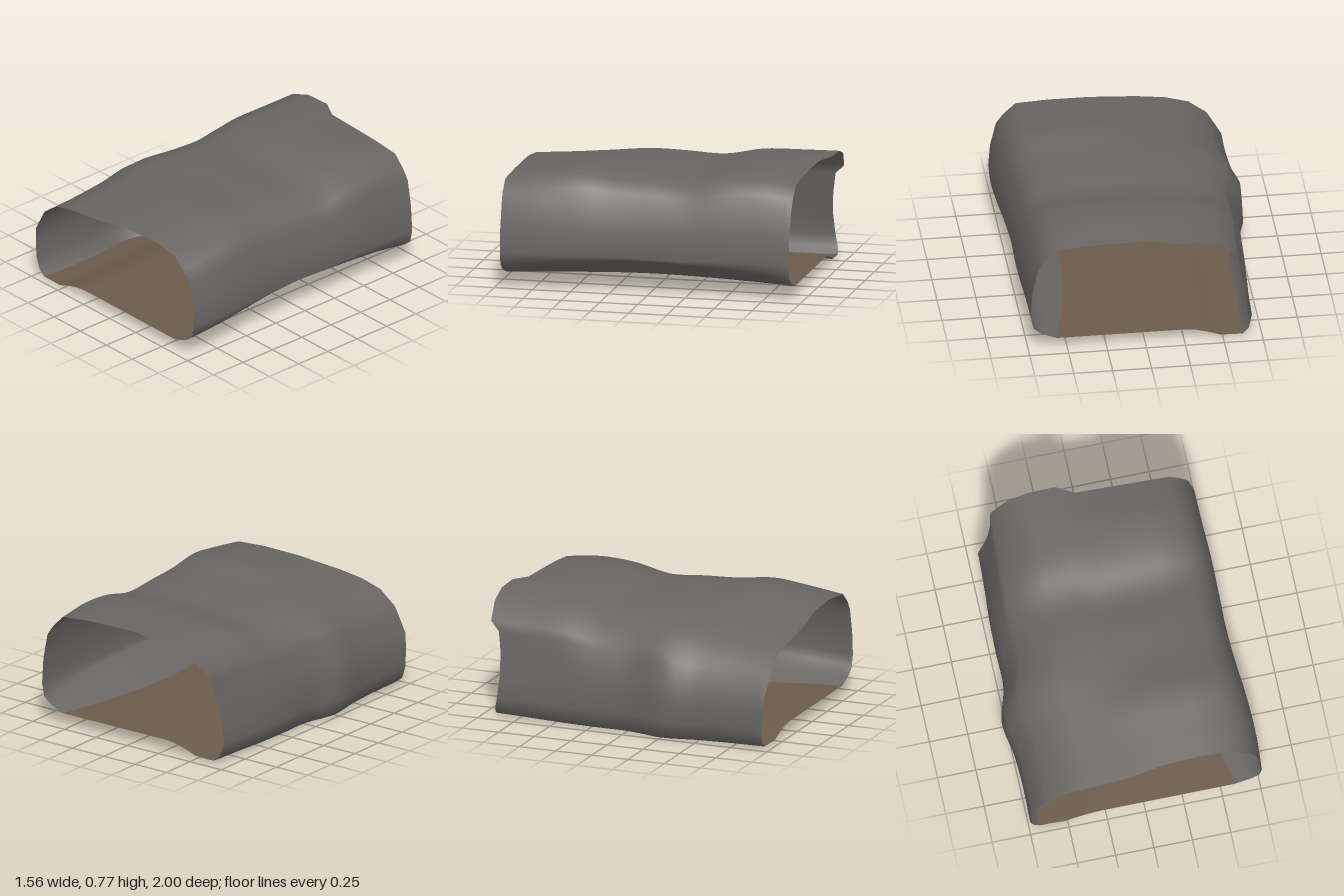
import * as THREE from 'three';

const { lerp, smoothstep } = THREE.MathUtils;

// Stations from back to front: left reach, right reach, roof height left, roof height right
const stations = [
  [0.69, 0.735, 0.77, 0.752],
  [0.70, 0.738, 0.765, 0.778],
  [0.715, 0.745, 0.755, 0.762],
  [0.72, 0.745, 0.708, 0.712],
  [0.722, 0.74, 0.715, 0.728],
  [0.782, 0.75, 0.71, 0.738],
  [0.75, 0.768, 0.688, 0.762],
  [0.74, 0.778, 0.665, 0.735],
  [0.745, 0.765, 0.645, 0.705],
];
const spline = new THREE.CubicInterpolant(
  stations.map((_, i) => i / (stations.length - 1)), stations.flat(), 4);
const FLOOR_SCALE = 0.72;

// Cross-sections: [x as part of reach, y as part of roof height, back z, front z,
//   x shift at mid length, y shift at mid length, x shift at the back]
const floorProfile = [
  [0.77, 0.104, -0.925, 0.96, -0.19],
  [0.4, 0.104, -0.925, 0.96],
  [0, 0.104, -0.925, 0.96],
  [-0.37, 0.104, -0.925, 0.96],
  [-0.48, 0.092, -0.925, 0.96],
  [-0.6, 0.06, -0.925, 0.96],
  [-0.7, 0.022, -0.92, 0.96, 0, -0.005],
  [-0.82, 0.018, -0.92, 0.955, 0, -0.007],
  [-0.91, 0.018, -0.92, 0.955, 0, -0.015],
];
const shellProfile = [
  [-0.91, 0.018, -0.92, 0.955, 0, -0.015],
  [-0.97, 0.07, -0.91, 0.955],
  [-1, 0.18, -0.89, 0.96],
  [-0.995, 0.36, -0.88, 0.97, 0, 0, 0.03],
  [-0.985, 0.54, -0.89, 0.975, 0, 0, 0.075],
  [-0.9, 0.71, -0.91, 0.983, 0, 0, 0.02],
  [-0.86, 0.79, -0.97, 0.985],
  [-0.7, 0.925, -0.99, 0.99],
  [-0.5, 0.985, -1, 0.995],
  [-0.24, 1, -1, 0.995],
  [-0.07, 0.995, -0.94, 0.985],
  [0.14, 1, -0.935, 0.965],
  [0.5, 0.995, -0.93, 0.955],
  [0.77, 0.97, -0.93, 0.965],
  [0.87, 0.87, -0.93, 0.965],
  [0.935, 0.78, -0.93, 0.96],
  [0.985, 0.55, -0.925, 0.96],
  [1, 0.33, -0.925, 0.96],
  [0.975, 0.215, -0.925, 0.96, -0.02, 0.08],
  [0.9, 0.155, -0.925, 0.96, -0.12, 0.045],
  [0.77, 0.104, -0.925, 0.96, -0.19],
];

// Sweeps a cross-section through the stations into an open sheet
function sheet(name, profile, material, steps = 40) {
  const positions = [], index = [], n = profile.length;
  for (let j = 0; j <= steps; j++) {
    const t = j / steps;
    const mid = Math.sin(Math.PI * t), rear = (1 - t) ** 3;
    const [left, right, roofL, roofR] = spline.evaluate(t);
    profile.forEach(([px, py, back, front, midX = 0, midY = 0, rearX = 0], i) => {
      const x = (px + midX * mid + rearX * rear) * (px < 0 ? left : right);
      const roof = lerp(roofL, roofR, smoothstep(x, -0.4, 0.3));
      const height = lerp(FLOOR_SCALE, roof, smoothstep(py, 0.1, 0.6));
      positions.push(x, (py + midY * mid) * height, lerp(back, front, t));
      if (j < steps && i < n - 1) {
        const a = j * n + i, b = a + n;
        index.push(a, b, a + 1, a + 1, b, b + 1);
      }
    });
  }
  const geometry = new THREE.BufferGeometry();
  geometry.setAttribute('position', new THREE.Float32BufferAttribute(positions, 3));
  geometry.setIndex(index);
  geometry.computeVertexNormals();
  const mesh = new THREE.Mesh(geometry, material);
  mesh.name = name;
  return mesh;
}

export function createModel() {
  const rock = new THREE.MeshStandardMaterial({ color: 0x686664, side: THREE.DoubleSide });
  rock.name = 'grey rock';
  const earth = new THREE.MeshStandardMaterial({ color: 0x6b5b49, side: THREE.DoubleSide });
  earth.name = 'brown earth';

  const model = new THREE.Group();
  model.name = 'tunnel';
  model.add(sheet('wallsAndRoof', shellProfile, rock));
  model.add(sheet('floor', floorProfile, earth));
  return model;
}
